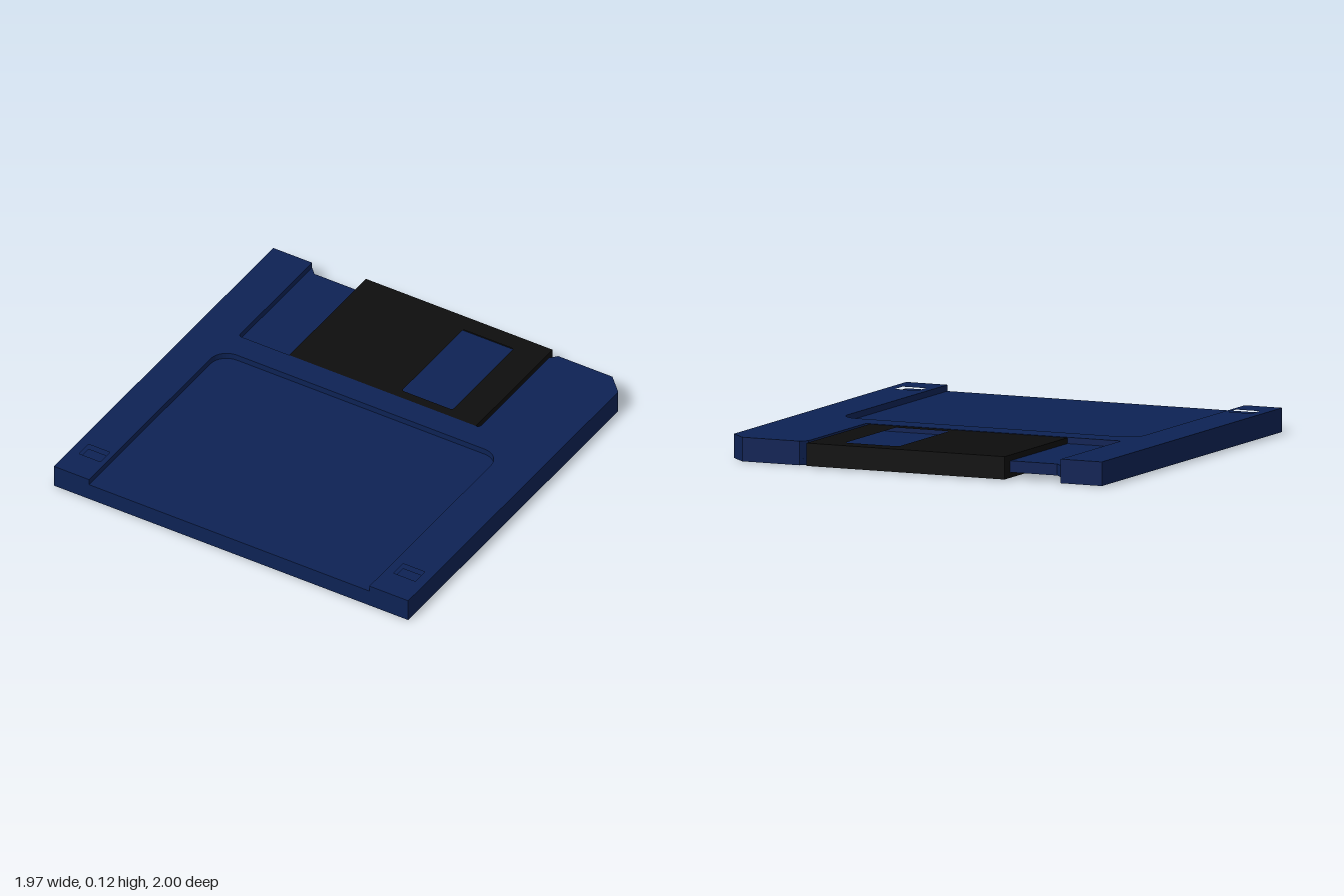
import * as THREE from 'three';

const mat = (name, color) => Object.assign(new THREE.MeshStandardMaterial({ color }), { name });

// Closed path from [x, z] points, drawn so that z runs down the sheet
function trace(path, pts) {
  path.setFromPoints(pts.map(([x, z]) => new THREE.Vector2(x, -z)));
  path.closePath();
  return path;
}
const rect = (x0, x1, z0, z1) => [[x0, z0], [x1, z0], [x1, z1], [x0, z1]];

// Corner arc points around (cx, cz), angles in quarter turns
function arc(cx, cz, r, from, to, n = 8) {
  return Array.from({ length: n + 1 }, (_, i) => {
    const a = (from + (to - from) * i / n) * Math.PI / 2;
    return [cx + r * Math.cos(a), cz + r * Math.sin(a)];
  });
}

// Flat plate lying between heights y0 and y1
function plate(name, material, pts, holes, y0, y1) {
  const shape = trace(new THREE.Shape(), pts);
  holes.forEach(h => shape.holes.push(trace(new THREE.Path(), h)));
  const geo = new THREE.ExtrudeGeometry(shape, { depth: y1 - y0, bevelEnabled: false });
  geo.rotateX(-Math.PI / 2).translate(0, y0, 0);
  const mesh = new THREE.Mesh(geo, material);
  mesh.name = name;
  return mesh;
}

export function createModel() {
  const blue = mat('navy plastic', 0x0d2254);
  const black = mat('black shutter', 0x0d0d0d);
  const grey = mat('hub metal', 0xc6c6c6);
  const model = new THREE.Group();
  model.name = 'floppyDisk';

  const LOW = 0.03, HIGH = 0.085, TOP = 0.115;
  const L = -0.985, R = 0.98, BACK = -0.97;
  const slots = [rect(-0.935, -0.815, 0.77, 0.855), rect(0.81, 0.93, 0.77, 0.855)];

  // Outline pieces: shutter bay (left to right) and cut back corner
  const bay = [[-0.77, BACK], ...arc(-0.755, -0.325, 0.015, 2, 1, 4),
    ...arc(0.55, -0.325, 0.015, 1, 0, 4), [0.565, -0.937], [0.595, BACK]];
  const cutCorner = [[0.895, BACK], [R, -0.885]];

  // Core, with its back edge set in behind the shutter
  const body = new THREE.Group();
  body.name = 'body';
  body.add(plate('core', blue, [[L, BACK], [-0.77, BACK], [-0.735, -0.935], [0.565, -0.935],
    [0.595, BACK], ...cutCorner, [R, 1], [L, 1]], slots, LOW, HIGH));

  // Bottom shell, with shutter bay and hub opening
  body.add(plate('bottomShell', blue, [[L, BACK], ...bay, ...cutCorner, [R, 1], [L, 1]],
    [...slots, arc(0, 0.02, 0.257, 0, 4, 48).slice(0, -1)], 0, LOW));

  // Top shell, with shutter bay and label recess open to the front
  body.add(plate('topShell', blue, [[L, BACK], ...bay, ...cutCorner, [R, 1], [0.765, 1],
    ...arc(0.675, -0.09, 0.09, 0, -1), ...arc(-0.7, -0.09, 0.09, -1, -2), [-0.79, 1], [L, 1]],
    slots, HIGH, TOP));
  model.add(body);

  // Sliding shutter: two windowed plates joined by a spine
  const shutter = new THREE.Group();
  shutter.name = 'shutter';
  const face = rect(-0.49, 0.545, -0.94, -0.312);
  const opening = [...arc(0.375, -0.37, 0.01, 0, 1, 3), ...arc(0.115, -0.37, 0.01, 1, 2, 3),
    ...arc(0.115, -0.9, 0.01, 2, 3, 3), ...arc(0.375, -0.9, 0.01, 3, 4, 3)];
  shutter.add(plate('shutterBottom', black, face, [opening], 0.004, LOW));
  shutter.add(plate('shutterTop', black, face, [opening], HIGH, 0.113));
  shutter.add(plate('shutterSpine', black, rect(-0.49, 0.545, -1, -0.937), [], 0.004, 0.113));
  model.add(shutter);

  // Metal hub, with a shallow centre socket and a drive slot
  const hub = new THREE.Group();
  hub.name = 'hub';
  const socket = rect(-0.045, 0.045, -0.025, 0.065);
  const driveSlot = rect(-0.215, -0.115, -0.075, 0.005);
  hub.add(plate('hubDisc', grey, arc(0, 0.02, 0.256, 0, 4, 48).slice(0, -1),
    [socket, driveSlot], 0.003, LOW));
  hub.add(plate('socketFloor', grey, socket, [], 0.012, LOW));
  model.add(hub);

  return model;
}
